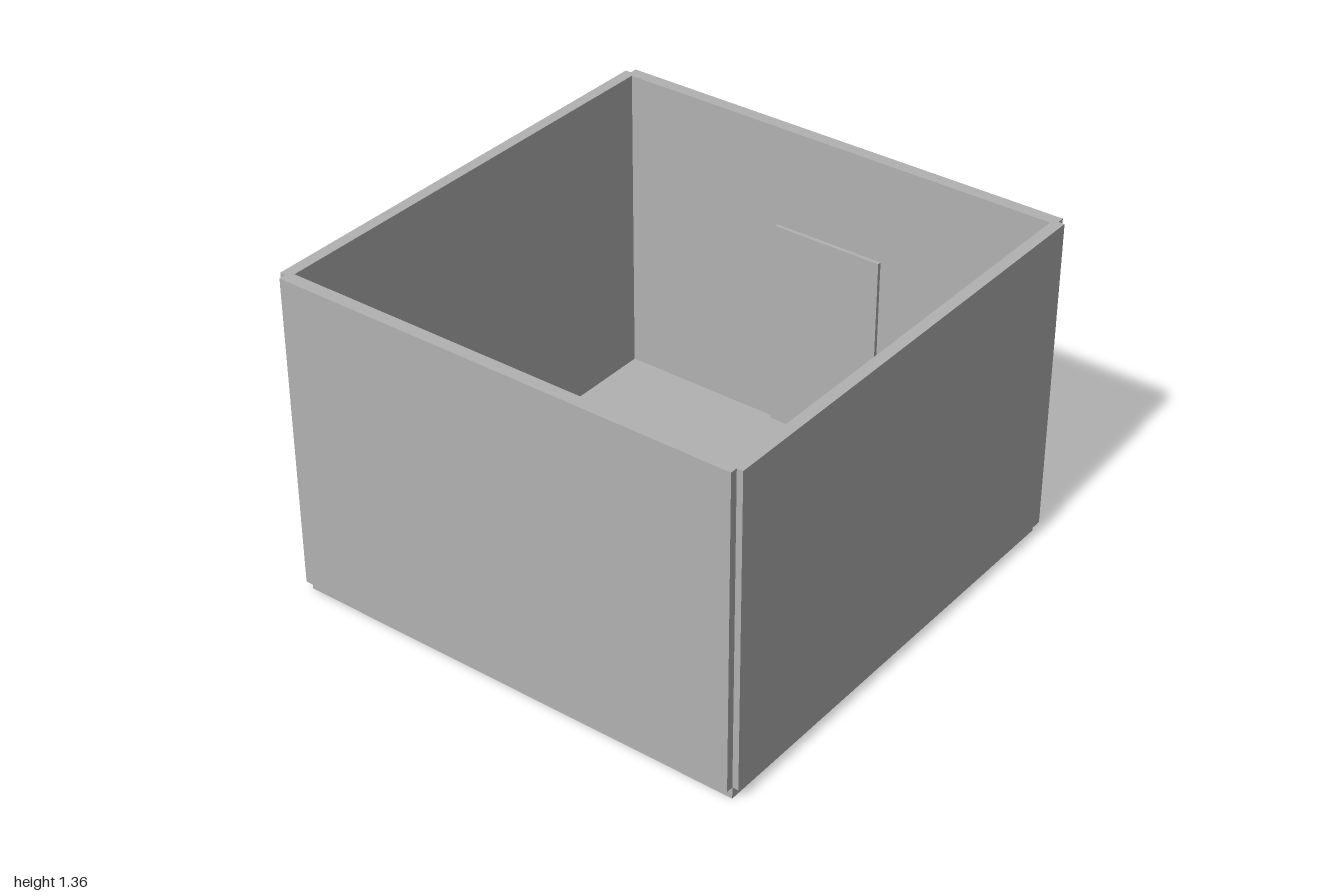
import * as THREE from 'three';

const HEIGHT = 1.36, CORE = 0.97, INNER = 0.948, LIP = 0.05;

export function createModel() {
  const group = new THREE.Group();
  const grey = new THREE.MeshStandardMaterial({ color: 0xb2b2b2 });
  grey.name = 'grey';

  const add = (name, geometry, x = 0, y = 0, z = 0) => {
    const mesh = new THREE.Mesh(geometry, grey);
    mesh.name = name;
    mesh.position.set(x, y, z);
    group.add(mesh);
    return mesh;
  };
  const box = (name, w, h, d, x, y, z) =>
    add(name, new THREE.BoxGeometry(w, h, d), x, y, z);
  const square = (Type, r) =>
    new Type([[-r, -r], [r, -r], [r, r], [-r, r]].map(([x, y]) => new THREE.Vector2(x, y)));

  // Inner shell: a square tube standing on the floor slab
  const outline = square(THREE.Shape, CORE);
  outline.holes.push(square(THREE.Path, INNER));
  const tube = new THREE.ExtrudeGeometry(outline, { depth: HEIGHT - LIP, bevelEnabled: false });
  tube.rotateX(-Math.PI / 2);
  add('innerShell', tube, 0, LIP, 0);
  box('floor', CORE * 2, LIP, CORE * 2, 0, LIP / 2, 0);

  // Outer cladding panels, leaving a notch at each corner
  const panelH = HEIGHT - LIP, panelY = LIP + panelH / 2;
  for (const s of [-1, 1]) {
    const side = s > 0 ? 'left' : 'right', face = s > 0 ? 'front' : 'back';
    box(side + 'Panel', 0.025, panelH, CORE * 2, s * 0.9825, panelY, 0);
    box(face + 'Panel', CORE * 2, panelH, 0.03, 0, panelY, s * 0.985);
  }

  // Raised plate on the inside of the back wall
  box('backPlate', 0.48, 0.89, 0.016, 0, LIP + 0.445, -INNER + 0.008);

  return group;
}
